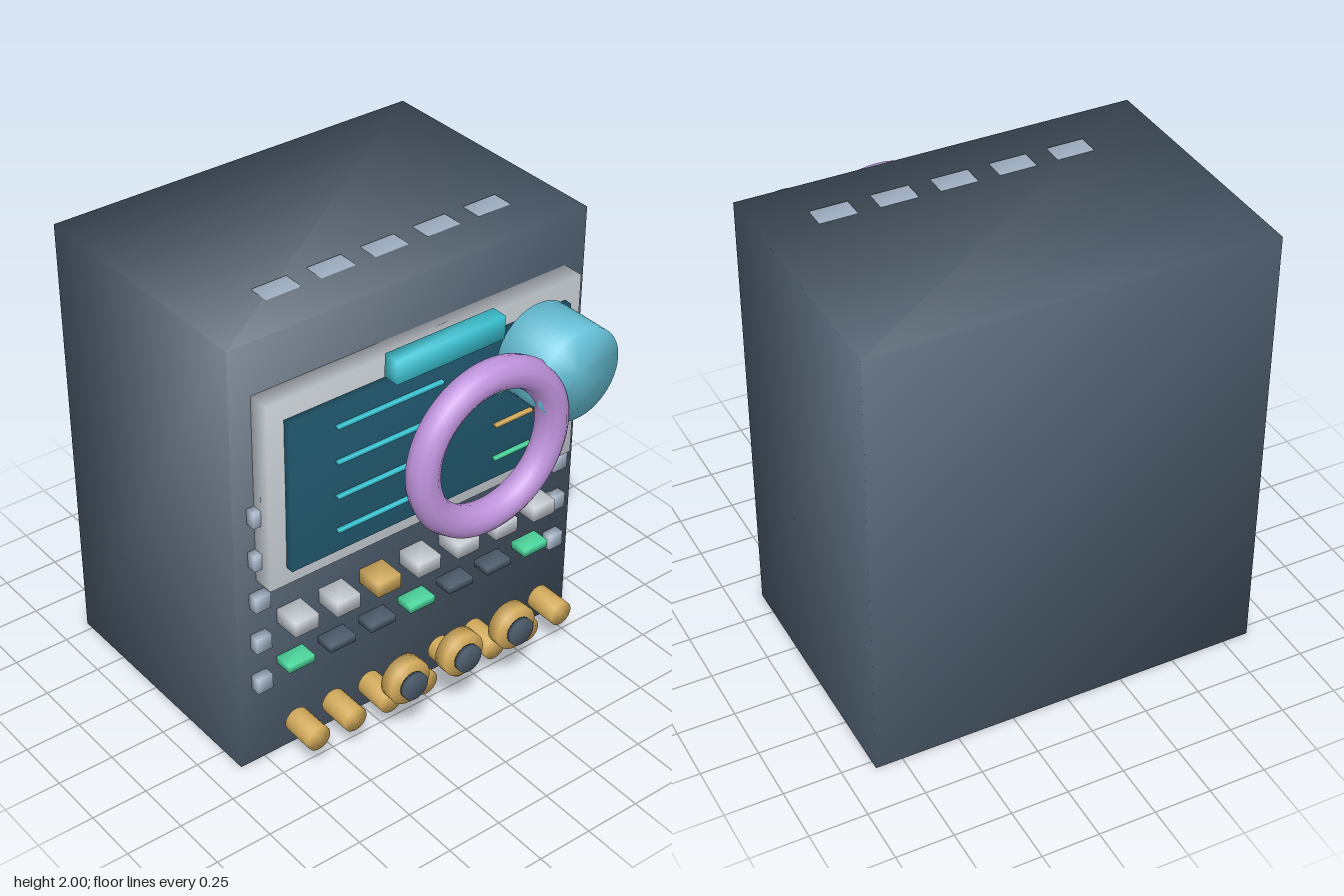
import * as THREE from 'three';
import { mergeVertices } from 'three/addons/utils/BufferGeometryUtils.js';

const mat = (name, color) => {
  const m = new THREE.MeshStandardMaterial({ color });
  m.name = name;
  return m;
};

export function createModel() {
  const slate = mat('slate', 0x4b5b6b);
  const silver = mat('silver', 0xc6ccd2);
  const steel = mat('steel', 0x9cacbe);
  const glass = mat('dark glass', 0x20566c);
  const cyan = mat('cyan', 0x3cc6d6);
  const sky = mat('sky blue', 0x68c3da);
  const lilac = mat('lilac', 0xbf93dc);
  const gold = mat('gold', 0xd4ac5c);
  const green = mat('green', 0x4cd69c);

  const model = new THREE.Group();
  model.name = 'console';

  // Weld the corners so that normals run smoothly over every edge
  const smooth = (g) => {
    g.deleteAttribute('normal');
    g.deleteAttribute('uv');
    const welded = mergeVertices(g, 1e-4);
    welded.computeVertexNormals();
    return welded;
  };
  const add = (name, geometry, material, x, y, z) => {
    const mesh = new THREE.Mesh(smooth(geometry), material);
    mesh.name = name;
    mesh.position.set(x, y, z);
    model.add(mesh);
    return mesh;
  };
  // Box given by its centre in x and y, and its back and front in z
  const box = (name, material, x, y, w, h, z0, z1) =>
    add(name, new THREE.BoxGeometry(w, h, z1 - z0), material, x, y, (z0 + z1) / 2);
  // Disc or knob with its axis along z
  const knob = (name, material, x, y, r, z0, z1, sides) =>
    add(name, new THREE.CylinderGeometry(r, r, z1 - z0, sides).rotateX(Math.PI / 2),
      material, x, y, (z0 + z1) / 2);

  // Cabinet and top vents
  box('cabinet', slate, 0, 0.9975, 1.734, 1.995, -0.79, 0.37);
  for (let i = -2; i <= 2; i++) {
    box('topVent', steel, 0.045 + i * 0.256, 1.99, 0.16, 0.02, 0.08, 0.173);
  }

  // Display
  box('displayFrame', silver, 0, 1.34, 1.534, 0.85, 0.37, 0.465);
  box('screen', glass, 0, 1.337, 1.376, 0.682, 0.44, 0.5);
  [1.58, 1.42, 1.26, 1.1].forEach((y, i) => {
    box('longScreenLine', cyan, -0.222, y, 0.508, 0.014, 0.498, 0.518);
    box('shortScreenLine', i === 2 ? gold : green, 0.402, y, 0.19, 0.014, 0.498, 0.518);
  });
  box('topBar', cyan, 0, 1.777, 0.525, 0.102, 0.52, 0.594);

  // Ring and drum in front of the screen
  add('ring', new THREE.TorusGeometry(0.322, 0.068, 10, 64), lilac, 0.087, 1.37, 0.721);
  knob('drum', sky, 0.513, 1.543, 0.203, 0.5, 0.753, 48);

  // Studs down both sides
  for (const side of [-1, 1]) {
    for (let i = 0; i < 5; i++) {
      box('sideStud', steel, side * 0.766, 1.235 - i * 0.204, 0.072, 0.07, 0.365, 0.415);
    }
  }

  // Two rows of buttons
  for (let i = -3; i <= 3; i++) {
    box('button', i === -1 ? gold : silver, i * 0.205, 0.692, 0.114, 0.068, 0.37, 0.493);
    box('indicator', i % 3 === 0 ? green : slate, i * 0.205, 0.471, 0.126, 0.034, 0.37, 0.455);
  }

  // Dials with dark centres
  for (let i = -1; i <= 1; i++) {
    knob('dial', gold, i * 0.279, 0.38, 0.1, 0.66, 0.721, 28);
    knob('dialCentre', slate, i * 0.279, 0.38, 0.062, 0.735, 0.757, 24);
  }

  // Bottom row of knobs
  for (let i = 0; i < 8; i++) {
    knob('bottomKnob', gold, (i - 3.5) * 0.184, 0.197, 0.056, 0.45, 0.6, 18);
  }

  return model;
}
